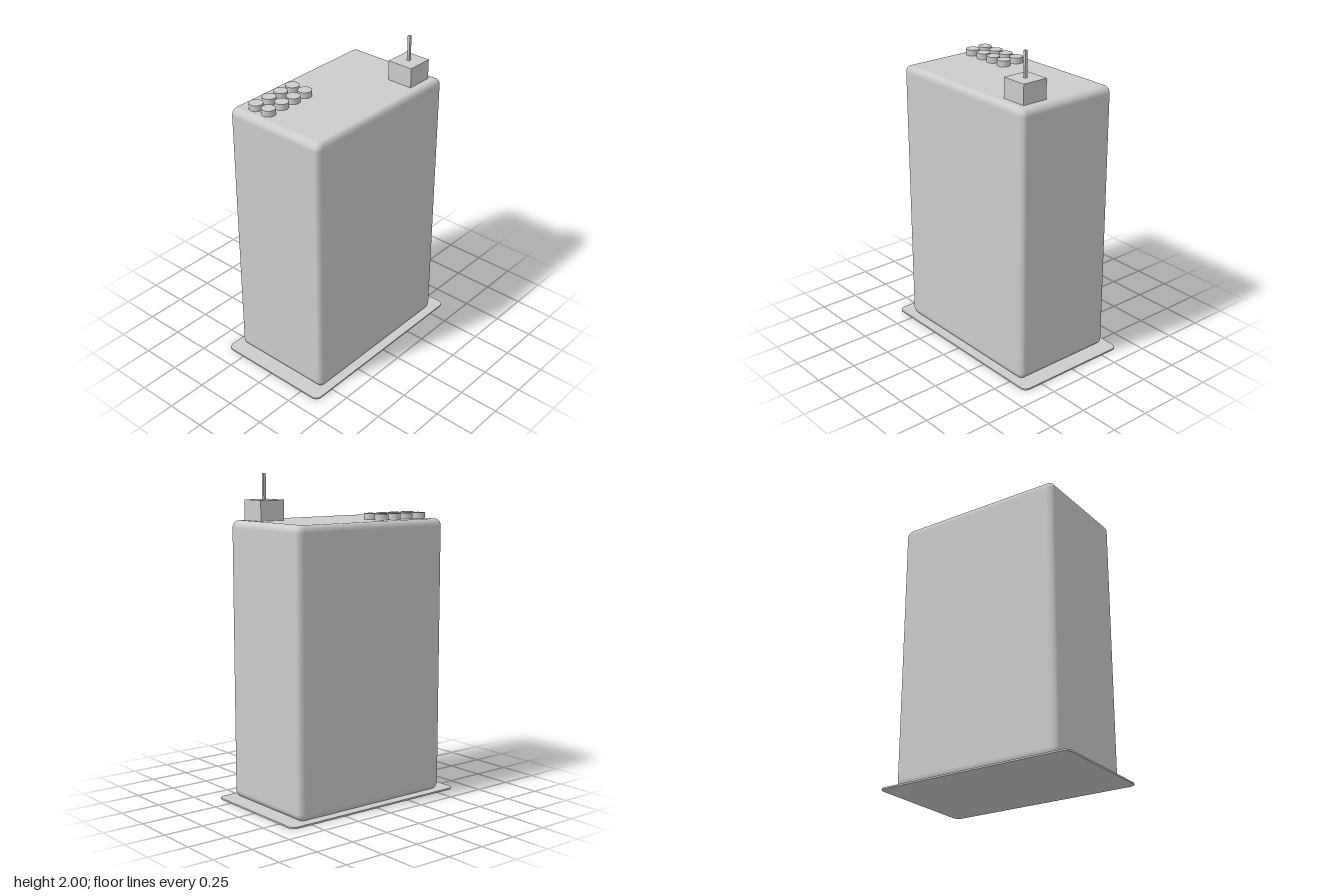
import * as THREE from 'three';
import { RoundedBoxGeometry } from 'three/addons/geometries/RoundedBoxGeometry.js';

const material = new THREE.MeshStandardMaterial({ color: 0xcccccc });

function addPart(parent, name, geometry, x, y, z) {
  const mesh = new THREE.Mesh(geometry, material);
  mesh.name = name;
  mesh.position.set(x, y, z);
  parent.add(mesh);
  return mesh;
}

// Flat slab with rounded corners, lying in the xz plane
function roundedSlab(width, depth, height, r) {
  const w = width / 2, d = depth / 2;
  const shape = new THREE.Shape();
  shape.absarc(w - r, d - r, r, 0, Math.PI / 2);
  shape.absarc(r - w, d - r, r, Math.PI / 2, Math.PI);
  shape.absarc(r - w, r - d, r, Math.PI, Math.PI * 1.5);
  shape.absarc(w - r, r - d, r, Math.PI * 1.5, Math.PI * 2);
  shape.closePath();
  return new THREE.ExtrudeGeometry(shape, { depth: height, bevelEnabled: false, curveSegments: 8 })
    .rotateX(-Math.PI / 2);
}

export function createModel() {
  const model = new THREE.Group();
  model.name = 'controlBox';

  // Thin floor plate
  addPart(model, 'basePlate', roundedSlab(1.282, 0.766, 0.01, 0.04), 0, 0, 0);

  // Tall casing; the edge rounding is wider along x than along z
  const radius = 0.045, stretchZ = 0.7;
  const casing = new RoundedBoxGeometry(1.108, 1.712, 0.68 / stretchZ, 6, radius);
  casing.scale(1, 1, stretchZ);
  addPart(model, 'casing', casing, 0, 0.864, -0.002);

  // Two rows of four round buttons
  const buttons = new THREE.Group();
  buttons.name = 'buttons';
  model.add(buttons);
  const buttonShape = new THREE.CylinderGeometry(0.042, 0.042, 0.047, 32);
  for (const z of [-0.222, -0.123]) {
    for (const x of [-0.457, -0.351, -0.255, -0.157]) {
      addPart(buttons, 'button', buttonShape, x, 1.7335, z);
    }
  }

  // Antenna block with its thin square rod
  addPart(model, 'antennaBlock', new THREE.BoxGeometry(0.168, 0.133, 0.168), 0.406, 1.7765, 0.194);
  addPart(model, 'antennaRod', new THREE.BoxGeometry(0.016, 0.17, 0.016), 0.406, 1.915, 0.194);

  return model;
}
